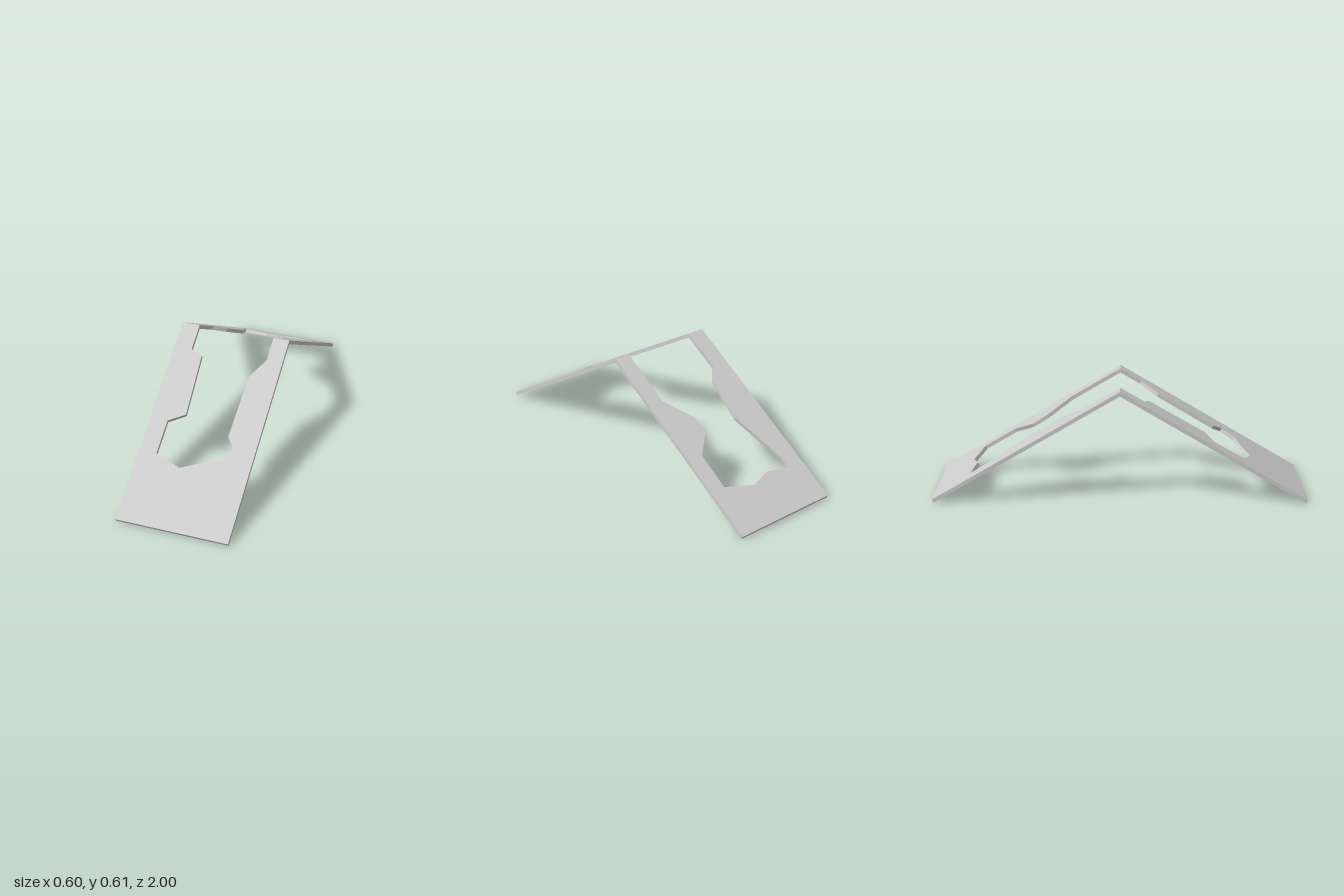
import * as THREE from 'three';

const RIDGE = 0.609, DROP = 0.592, THICK = 0.02, HALF = 0.3;

// Sloping slab: a flat plan outline (x, z) extruded, then folded down from the ridge.
function slab(name, side, opening, material) {
  const outline = [[HALF, 0], [HALF, side], [-HALF, side], [-HALF, 0], ...opening];
  const shape = new THREE.Shape(outline.map(([x, z]) => new THREE.Vector2(x, -z)));
  const geometry = new THREE.ExtrudeGeometry(shape, { depth: THICK, bevelEnabled: false });
  geometry.rotateX(-Math.PI / 2);

  const length = Math.hypot(1, DROP);
  const p = geometry.attributes.position;
  for (let i = 0; i < p.count; i++) {
    let z = p.getZ(i);
    const under = p.getY(i) < THICK / 2;
    let y = RIDGE - DROP * Math.abs(z);
    if (under && Math.abs(z) < 1e-4) {
      y -= THICK * length; // mitre at the ridge
    } else if (under) {
      y -= THICK / length;
      z -= side * THICK * DROP / length;
    }
    p.setXYZ(i, p.getX(i), y, z);
  }
  geometry.computeVertexNormals();
  const mesh = new THREE.Mesh(geometry, material);
  mesh.name = name;
  return mesh;
}

export function createModel() {
  const group = new THREE.Group();
  group.name = 'foldedRoof';
  const material = new THREE.MeshStandardMaterial({ color: 0xcccccc, flatShading: true });

  // Ragged opening in each slab, from the left side of the ridge round to the right
  const frontOpening = [
    [-0.203, 0], [-0.203, 0.13], [-0.137, 0.152], [-0.117, 0.455], [-0.203, 0.501],
    [-0.203, 0.664], [-0.063, 0.709], [0.072, 0.656], [0.138, 0.641], [0.18, 0.571],
    [0.137, 0.521], [0.147, 0.214], [0.213, 0.118], [0.213, 0],
  ];
  const backOpening = [
    [-0.203, 0], [-0.203, -0.207], [-0.143, -0.273], [-0.113, -0.486], [-0.203, -0.756],
    [-0.203, -0.801], [-0.065, -0.78], [0.05, -0.812], [0.213, -0.765], [0.213, -0.594],
    [0.097, -0.487], [0.106, -0.41], [0.213, -0.276], [0.213, 0],
  ];
  group.add(slab('frontSlope', 1, frontOpening, material));
  group.add(slab('backSlope', -1, backOpening, material));
  return group;
}
